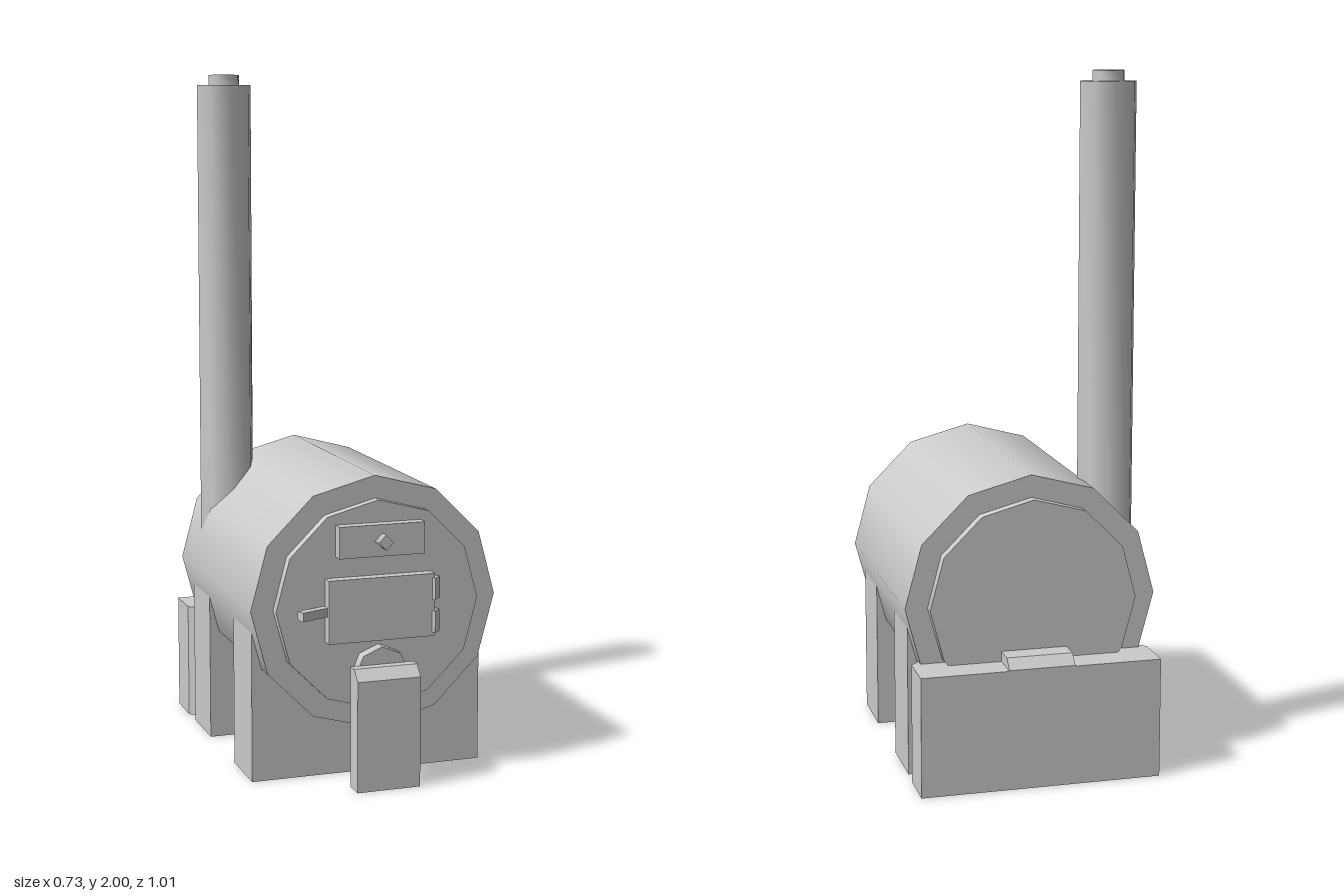
import * as THREE from 'three';
import { toCreasedNormals } from 'three/addons/utils/BufferGeometryUtils.js';

export function createModel() {
  const model = new THREE.Group();
  const material = new THREE.MeshStandardMaterial({ color: 0xcccccc });

  function add(name, geometry, x = 0, y = 0, z = 0) {
    const mesh = new THREE.Mesh(geometry, material);
    mesh.name = name;
    mesh.position.set(x, y, z);
    model.add(mesh);
    return mesh;
  }

  // Box given by its limits on each axis
  function block(name, x0, x1, y0, y1, z0, z1) {
    return add(name, new THREE.BoxGeometry(x1 - x0, y1 - y0, z1 - z0),
      (x0 + x1) / 2, (y0 + y1) / 2, (z0 + z1) / 2);
  }

  // Cylinder lying along z, with a corner pointing up
  function drum(name, radius, sides, y, z0, z1) {
    const geometry = new THREE.CylinderGeometry(radius, radius, z1 - z0, sides);
    geometry.rotateX(Math.PI / 2);
    return add(name, geometry, 0, y, (z0 + z1) / 2);
  }

  // Side profile of [z, y] points, extruded across x
  function sideProfile(name, points, halfWidth) {
    const shape = new THREE.Shape(points.map(([z, y]) => new THREE.Vector2(-z, y)));
    const geometry = new THREE.ExtrudeGeometry(shape, { depth: halfWidth * 2, bevelEnabled: false });
    geometry.translate(0, 0, -halfWidth);
    geometry.rotateY(Math.PI / 2);
    return add(name, geometry);
  }

  // Boiler body and its recessed end plates
  const axisY = 0.513;
  drum('boilerBody', 0.367, 12, axisY, -0.38, 0.38);
  drum('frontEndPlate', 0.302, 12, axisY, 0.37, 0.41);
  drum('rearEndPlate', 0.302, 12, axisY, -0.413, -0.37);

  // Chimney with a small open spout on top
  const chimneyProfile = [
    [0, 0.52], [0.083, 0.52], [0.083, 1.97], [0.047, 1.97],
    [0.047, 2], [0.031, 2], [0.031, 1.97], [0, 1.97],
  ].map(([r, y]) => new THREE.Vector2(r, y));
  add('chimney', toCreasedNormals(new THREE.LatheGeometry(chimneyProfile, 8), 0.9), -0.255, 0, -0.255);

  // Two cradles under the boiler
  block('frontCradle', -0.347, 0.347, 0, 0.44, 0.133, 0.318);
  block('rearCradle', -0.347, 0.347, 0, 0.44, -0.315, -0.13);

  // Rear base block, with its inner corners cut off in plan
  const plan = new THREE.Shape([
    [-0.35, 0.505], [-0.35, 0.38], [-0.285, 0.315],
    [0.285, 0.315], [0.35, 0.38], [0.35, 0.505],
  ].map(([x, y]) => new THREE.Vector2(x, y)));
  const baseGeometry = new THREE.ExtrudeGeometry(plan, { depth: 0.35, bevelEnabled: false });
  baseGeometry.rotateX(-Math.PI / 2);
  add('rearBase', baseGeometry);
  sideProfile('rearBaseRidge', [[-0.505, 0.34], [-0.505, 0.352], [-0.475, 0.38], [-0.39, 0.38], [-0.39, 0.34]], 0.096);

  // Front post with a sloped top, and the round flange behind it
  sideProfile('frontPost', [[0.505, 0], [0.505, 0.32], [0.474, 0.35], [0.444, 0.35], [0.444, 0]], 0.094);
  drum('flange', 0.08, 8, 0.32, 0.4, 0.446);

  // Fire door with hinges and a slanted handle
  block('fireDoor', -0.158, 0.158, 0.418, 0.6, 0.4, 0.443);
  for (const y of [0.46, 0.556]) {
    const hinge = new THREE.CylinderGeometry(0.022, 0.022, 0.064, 4).toNonIndexed();
    hinge.computeVertexNormals();
    add('doorHinge', hinge, 0.158, y, 0.428);
  }
  const handle = add('doorHandle', new THREE.BoxGeometry(0.11, 0.026, 0.025), -0.193, 0.508, 0.433);
  handle.rotation.y = 0.38;

  // Upper hatch plate and its knob
  block('hatchPlate', -0.127, 0.127, 0.66, 0.751, 0.4, 0.444);
  drum('hatchKnob', 0.022, 4, 0.705, 0.43, 0.476);

  return model;
}
